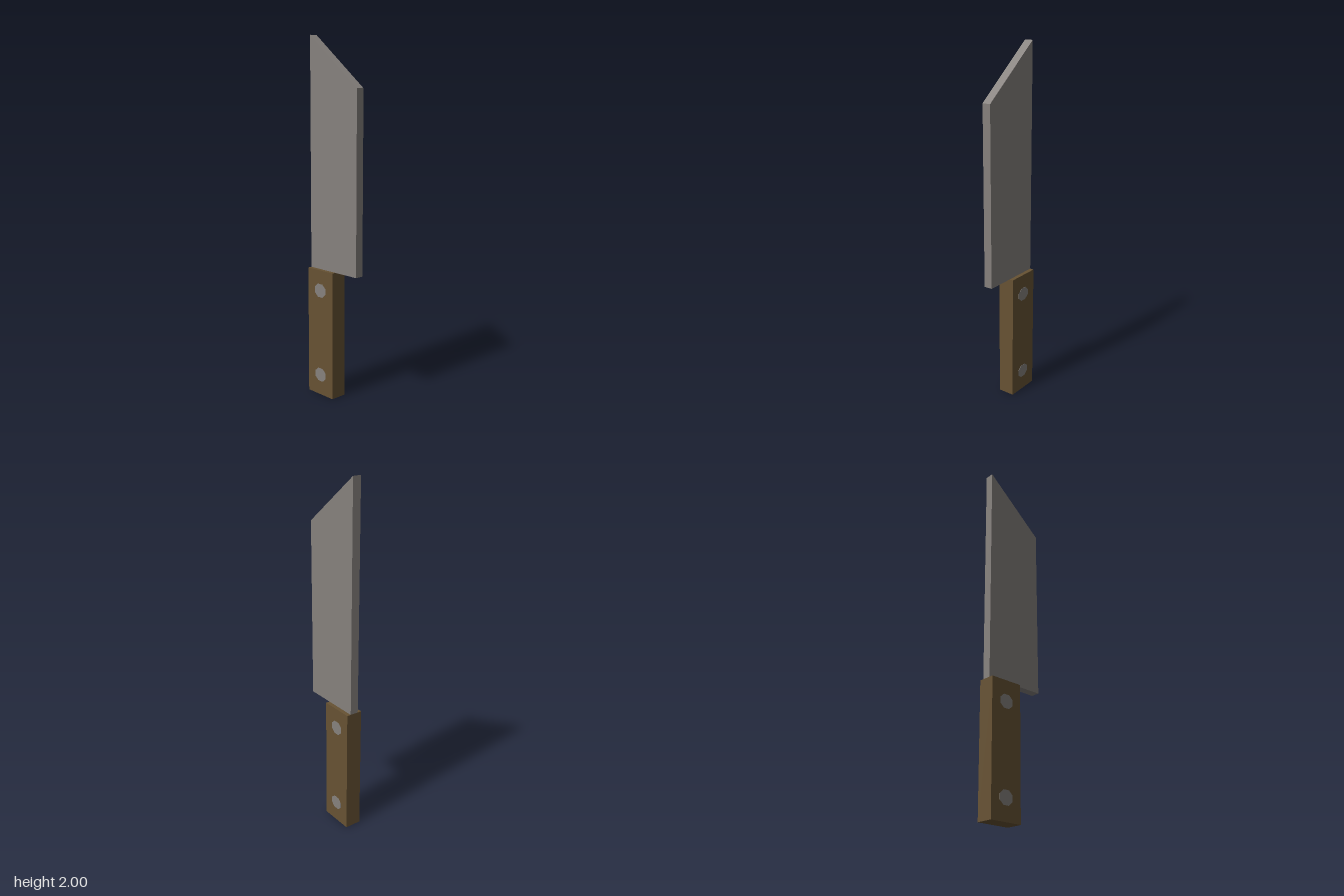
import * as THREE from 'three';

export function createModel() {
  const model = new THREE.Group();
  model.name = 'knife';
  const steel = new THREE.MeshStandardMaterial({ name: 'steel grey', color: 0x86817d });
  const wood = new THREE.MeshStandardMaterial({ name: 'brown wood', color: 0x675233 });

  const add = (name, geometry, material, x = 0, y = 0, z = 0) => {
    const mesh = new THREE.Mesh(geometry, material);
    mesh.name = name;
    mesh.position.set(x, y, z);
    model.add(mesh);
    return mesh;
  };

  const left = -0.177, right = 0.177, handleRight = 0.018;
  const handleTop = 0.727, handleDepth = 0.094, bladeDepth = 0.048;

  // Blade: flat slab with a slanted tip
  const outline = new THREE.Shape([
    new THREE.Vector2(left, handleTop),
    new THREE.Vector2(right, handleTop),
    new THREE.Vector2(right, 1.72),
    new THREE.Vector2(left, 2),
  ]);
  const blade = new THREE.ExtrudeGeometry(outline, { depth: bladeDepth, bevelEnabled: false });
  add('blade', blade, steel, 0, 0, -bladeDepth / 2);

  // Handle: square-edged block
  const width = handleRight - left;
  const handleX = (left + handleRight) / 2;
  add('handle', new THREE.BoxGeometry(width, handleTop, handleDepth), wood, handleX, handleTop / 2, 0);

  // Rivets: eight-sided pins just proud of both handle faces
  const rivet = new THREE.CylinderGeometry(0.044, 0.044, handleDepth + 0.002, 8)
    .toNonIndexed()
    .rotateY(Math.PI / 8)
    .rotateX(Math.PI / 2)
    .scale(1.05, 0.93, 1);
  rivet.computeVertexNormals();
  for (const [name, y] of [['lowerRivet', 0.118], ['upperRivet', 0.611]]) {
    add(name, rivet, steel, handleX, y, 0);
  }

  return model;
}
